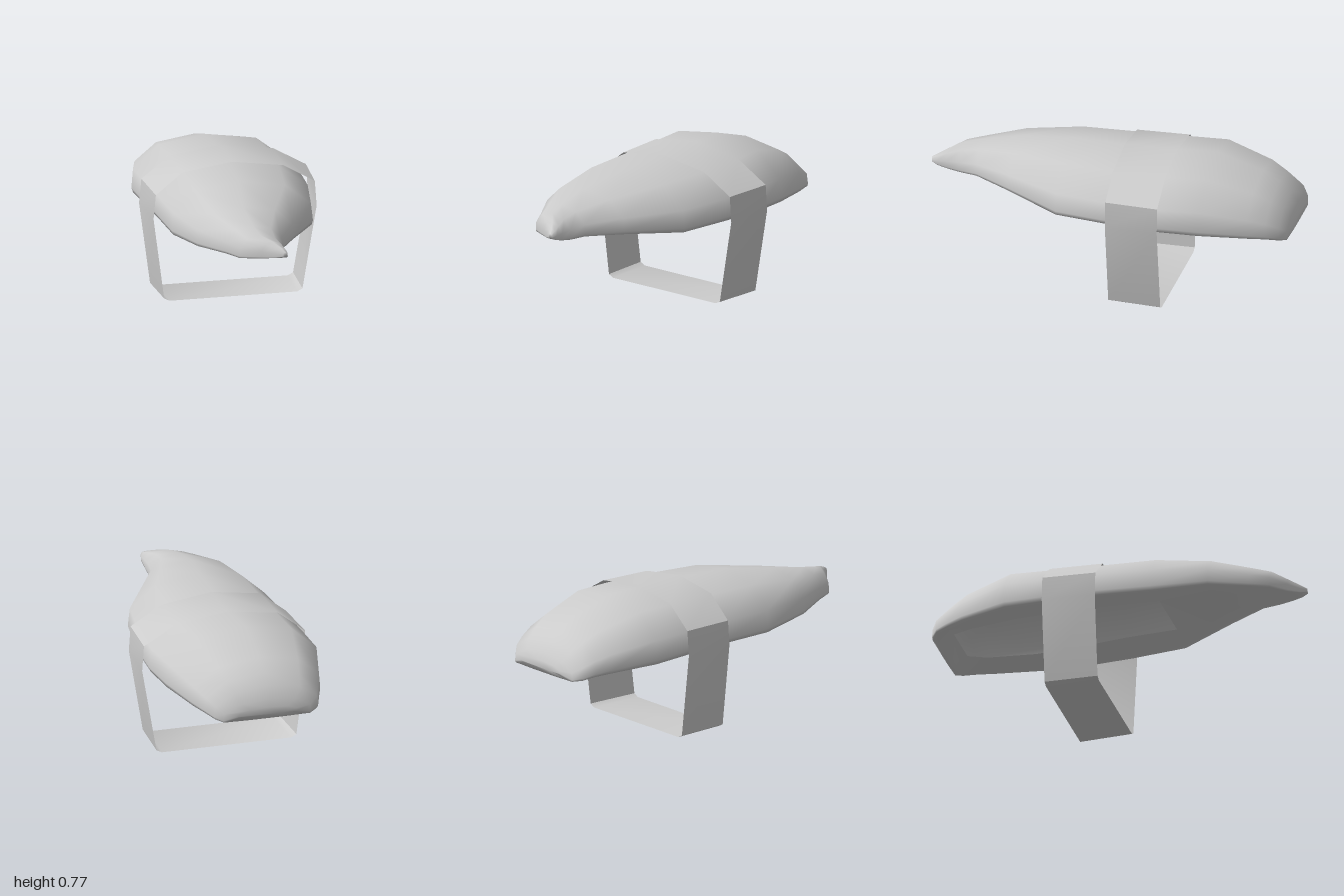
import * as THREE from 'three';
import { toCreasedNormals } from 'three/addons/utils/BufferGeometryUtils.js';

// Skin a list of equal-length rings; isOpen(i) leaves out the wrap-around quad of span i
function loft(rings, isOpen, capEnds) {
  const n = rings[0].length;
  const index = [];
  for (let i = 0; i < rings.length - 1; i++) {
    for (let j = 0; j < n; j++) {
      if (j === n - 1 && isOpen(i)) continue;
      const k = (j + 1) % n;
      const a = i * n + j, b = i * n + k, c = a + n, d = b + n;
      index.push(a, b, c, b, d, c);
    }
  }
  if (capEnds) {
    const last = (rings.length - 1) * n;
    for (let j = 1; j < n - 1; j++) {
      index.push(0, j + 1, j);
      index.push(last, last + j, last + j + 1);
    }
  }
  const geometry = new THREE.BufferGeometry();
  geometry.setAttribute('position', new THREE.Float32BufferAttribute(rings.flat(2), 3));
  geometry.setIndex(index);
  geometry.computeVertexNormals();
  return geometry;
}

// Half-width fraction and height fraction of the arch, from -x over the top to +x
const ARCH = [
  [-0.86, 0.02], [-0.98, 0.02], [-1, 0.1], [-0.98, 0.45], [-0.65, 0.86], [-0.05, 1],
  [0.6, 0.86], [0.97, 0.45], [1, 0.1], [0.98, 0.02], [0.86, 0.02],
];

// Stations from tip to back: z, xMin, xMax, bottom, top, then the opening's xMin and xMax if any
const STATIONS = [
  [1.0, 0.03, 0.055, 0.58, 0.605],
  [0.97, -0.005, 0.062, 0.565, 0.62],
  [0.92, -0.07, 0.062, 0.55, 0.64],
  [0.85, -0.175, 0.063, 0.535, 0.66],
  [0.75, -0.225, 0.08, 0.53, 0.68],
  [0.55, -0.34, 0.19, 0.512, 0.717],
  [0.25, -0.41, 0.36, 0.478, 0.757, -0.2, 0.17],
  [-0.05, -0.43, 0.41, 0.476, 0.757, -0.21, 0.2],
  [-0.33, -0.447, 0.42, 0.464, 0.757, -0.22, 0.23],
  [-0.54, -0.455, 0.395, 0.453, 0.757, -0.22, 0.235],
  [-0.79, -0.39, 0.325, 0.435, 0.675, -0.21, 0.16],
  [-0.88, -0.355, 0.285, 0.424, 0.62, -0.2, 0.08],
  [-0.945, -0.33, 0.25, 0.41, 0.57],
  [-0.98, -0.28, 0.21, 0.4, 0.51],
  [-1.0, -0.2, 0.13, 0.43, 0.47],
];

// Ring runs from the left lip of the opening, round the arch, to the right lip
function shellRing([z, xMin, xMax, bottom, top, lipMin, lipMax]) {
  const mid = (xMin + xMax) / 2, half = (xMax - xMin) / 2, height = top - bottom;
  const lipY = bottom + 0.12 * height;
  return [
    [lipMin ?? mid - 0.4 * half, lipMin === undefined ? bottom : lipY, z],
    ...ARCH.map(([u, v]) => [mid + u * half, bottom + v * height, z]),
    [lipMax ?? mid + 0.4 * half, lipMax === undefined ? bottom : lipY, z],
  ];
}

// Strap outline, clockwise seen from the front
const STRAP = [
  [-0.4, 0.015], [-0.46, 0.47], [-0.447, 0.605], [-0.297, 0.724], [-0.015, 0.764], [0.27, 0.724],
  [0.45, 0.62], [0.46, 0.48], [0.38, 0.015], [0.35, 0], [-0.37, 0],
];

export function createModel() {
  const group = new THREE.Group();
  const material = new THREE.MeshStandardMaterial({ color: 0xcccccc, side: THREE.DoubleSide });

  // Thin arched shell with a beaked tip, curled under to an opening below
  const hasOpening = (i) => STATIONS[i].length > 5 && STATIONS[i + 1].length > 5;
  const shell = new THREE.Mesh(loft(STATIONS.map(shellRing), hasOpening, true), material);
  shell.name = 'shell';
  group.add(shell);

  // Thin strap loop, slightly narrower and higher at its front edge
  const strapRing = (z, scale, lift) => STRAP.map(([x, y]) => [x * scale, y + lift * (1 - y), z]);
  const strap = new THREE.Mesh(
    toCreasedNormals(
      loft([strapRing(-0.042, 0.967, 0.008), strapRing(-0.33, 1, 0)], () => false, false), 0.6),
    material,
  );
  strap.name = 'strap';
  group.add(strap);

  return group;
}
